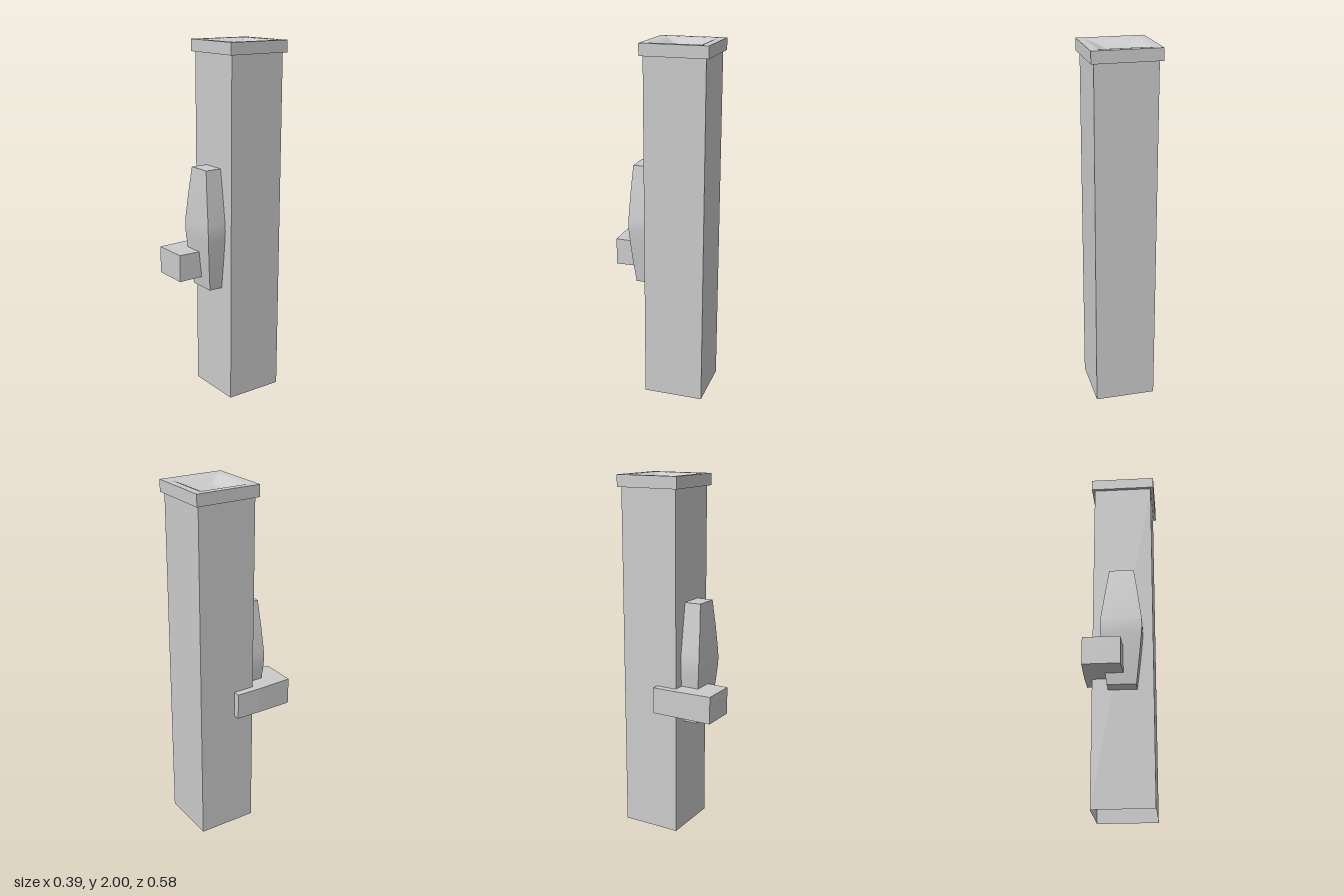
import * as THREE from 'three';

const CX = 0.01, CZ = -0.106; // axis of the post

const grey = (extra = {}) => new THREE.MeshStandardMaterial({ color: 0xcccccc, ...extra });

function addMesh(group, name, geometry, material = grey()) {
  const mesh = new THREE.Mesh(geometry, material);
  mesh.name = name;
  group.add(mesh);
  return mesh;
}

// Move every vertex of a geometry by a rule, then refresh its normals
function reshape(geometry, rule) {
  const p = geometry.attributes.position;
  const v = new THREE.Vector3();
  for (let i = 0; i < p.count; i++) {
    rule(v.fromBufferAttribute(p, i));
    p.setXYZ(i, v.x, v.y, v.z);
  }
  geometry.computeVertexNormals();
  return geometry;
}

function squarePath(half, Type) {
  return new Type([[-1, -1], [1, -1], [1, 1], [-1, 1]]
    .map(([x, y]) => new THREE.Vector2(x * half, y * half)));
}

export function createModel() {
  const model = new THREE.Group();
  model.name = 'post';

  // Hollow square shaft, open at the bottom
  const shaftHalf = 0.168, shaftTop = 1.94;
  const radius = shaftHalf * Math.SQRT2;
  const shaft = new THREE.CylinderGeometry(radius, radius, shaftTop, 4, 1, true);
  shaft.rotateY(Math.PI / 4).translate(CX, shaftTop / 2, CZ);
  addMesh(model, 'shaft', shaft, grey({ flatShading: true, side: THREE.DoubleSide }));

  // Cap: square frame with a shallow, softly dished top
  const cap = new THREE.Group();
  cap.name = 'cap';
  cap.position.set(CX, 0, CZ);
  model.add(cap);
  const rimHalf = 0.185, dishHalf = 0.155;
  const frameShape = squarePath(rimHalf, THREE.Shape);
  frameShape.holes.push(squarePath(dishHalf, THREE.Path));
  const frame = new THREE.ExtrudeGeometry(frameShape, { depth: 0.065, bevelEnabled: false });
  frame.rotateX(-Math.PI / 2).translate(0, 1.935, 0);
  addMesh(cap, 'capFrame', frame);
  const dish = new THREE.PlaneGeometry(dishHalf * 2, dishHalf * 2, 24, 24).rotateX(-Math.PI / 2);
  reshape(dish, (v) => {
    const d = Math.max(Math.abs(v.x), Math.abs(v.z));
    v.y = 2 - 0.035 * (1 - THREE.MathUtils.smoothstep(d, 0.05, dishHalf));
  });
  addMesh(cap, 'capDish', dish, grey({ side: THREE.DoubleSide }));

  // Bulging plate on the front: [y, left x, right x, front z]
  const rows = [
    [0.645, -0.07, 0.089, 0.142],
    [0.80, -0.089, 0.107, 0.16],
    [0.93, -0.103, 0.12, 0.172],
    [0.98, -0.105, 0.123, 0.175],
    [1.03, -0.103, 0.12, 0.174],
    [1.18, -0.081, 0.1, 0.167],
    [1.325, -0.059, 0.079, 0.157],
  ];
  const plate = new THREE.BoxGeometry(1, 1, 1, 1, rows.length - 1, 1);
  reshape(plate, (v) => {
    const [y, x0, x1, z] = rows[Math.round((v.y + 0.5) * (rows.length - 1))];
    v.set(v.x < 0 ? x0 : x1, y, v.z < 0 ? 0.055 : z);
  });
  addMesh(model, 'frontPlate', plate);

  // Slightly tapered block passing through the front corner: [z, left x, right x, bottom y]
  const stations = [
    [-0.06, -0.198, 0.022, 0.71],
    [0.08, -0.198, 0.022, 0.71],
    [0.29, -0.188, 0.015, 0.705],
  ];
  const block = new THREE.BoxGeometry(1, 1, 1, 1, 1, 2);
  reshape(block, (v) => {
    const [z, x0, x1, y0] = stations[Math.round((v.z + 0.5) * 2)];
    v.set(v.x < 0 ? x0 : x1, v.y < 0 ? y0 : 0.858, z);
  });
  addMesh(model, 'sideBlock', block, grey({ flatShading: true }));

  return model;
}
